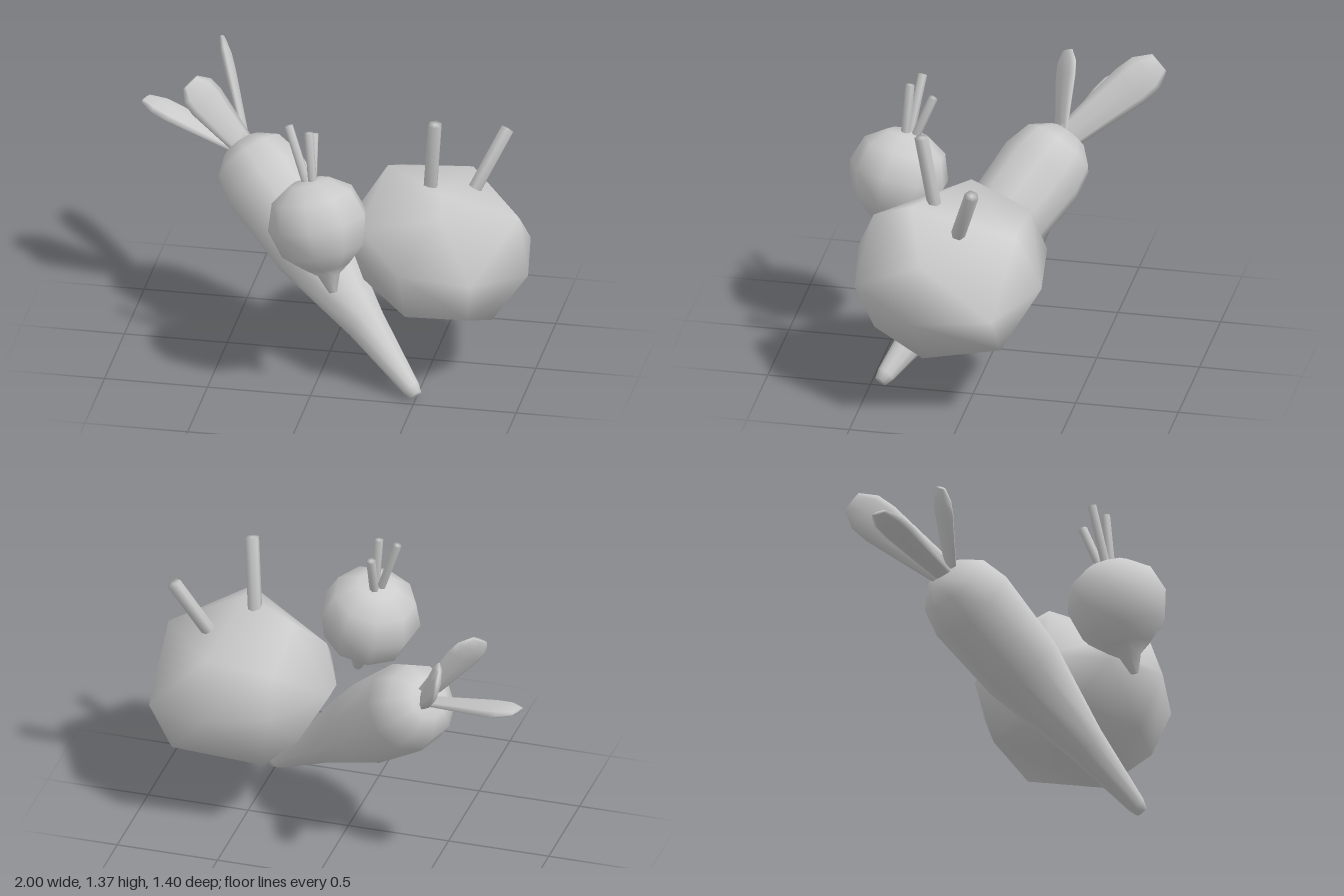
import * as THREE from 'three';
import { ConvexGeometry } from 'three/addons/geometries/ConvexGeometry.js';
import { mergeVertices } from 'three/addons/utils/BufferGeometryUtils.js';

const material = new THREE.MeshStandardMaterial({ color: 0xcccccc, side: THREE.DoubleSide });
const vec = (p) => new THREE.Vector3(...p);

// Lathe a [radius, fraction] profile along the line from a to b; "wide" sets the broad
// direction and "flat" squashes the third axis
function spindle(name, a, b, profile, { sides = 8, wide = [1, 0, 0], flat = 1 } = {}) {
  const start = vec(a), axis = vec(b).sub(start), length = axis.length();
  axis.normalize();
  const points = profile.map(([r, t]) => new THREE.Vector2(r, t * length));
  const geometry = new THREE.LatheGeometry(points, sides);
  const z = vec(wide).cross(axis).normalize();
  const x = axis.clone().cross(z);
  geometry.scale(1, 1, flat);
  geometry.applyMatrix4(new THREE.Matrix4().makeBasis(x, axis, z).setPosition(start));
  const mesh = new THREE.Mesh(geometry, material);
  mesh.name = name;
  return mesh;
}

const stalk = (name, a, b, r) =>
  spindle(name, a, b, [[0, 0], [r, 0], [r, 1], [0, 1]], { sides: 6 });

const leaf = (name, a, b, wide, w) =>
  spindle(name, a, b, [[0, 0], [0.6 * w, 0], [w, 0.7], [0.95 * w, 0.86], [0.5 * w, 1], [0, 1]],
    { wide, flat: 0.26 });

function createCarrot() {
  const group = new THREE.Group();
  group.name = 'carrot';
  group.add(spindle('carrotRoot', [0.505, 0.02, 0.45], [-0.48, 0.92, -0.26],
    [[0, 0], [0.03, 0], [0.045, 0.03], [0.1, 0.29], [0.198, 0.6], [0.218, 0.86],
      [0.185, 0.95], [0.1, 1], [0, 1]], { sides: 10 }));
  group.add(
    leaf('sideLeaf', [-0.47, 0.9, -0.25], [-0.98, 1.035, -0.445], [0.35, 0, -0.93], 0.088),
    leaf('frontLeaf', [-0.46, 0.93, -0.23], [-0.72, 1.255, -0.21], [0.6, 0.5, -0.6], 0.095),
    leaf('backLeaf', [-0.45, 0.92, -0.25], [-0.65, 1.27, -0.67], [0, 0.77, 0.64], 0.108));
  return group;
}

function createBeet() {
  const group = new THREE.Group();
  group.name = 'beet';
  // Uneven faceted bulb, as the hull of a few corners listed from top to bottom
  const corners = [
    [0.6, 1.01, 0.28], [0.29, 1.03, 0.05], [0.62, 0.96, 0.46], [0.65, 0.92, -0.24],
    [0.3, 0.9, -0.24], [0.95, 0.87, 0.17], [0.2, 0.8, 0.3],
    [1.0, 0.58, 0.2], [0.94, 0.6, -0.18], [0.63, 0.65, -0.36], [0.3, 0.7, -0.32],
    [0.09, 0.7, 0], [0.09, 0.7, 0.1], [0.2, 0.7, 0.38], [0.44, 0.7, 0.57], [0.78, 0.65, 0.52],
    [0.82, 0.32, 0.18], [0.45, 0.34, 0.18], [0.82, 0.4, -0.2], [0.35, 0.4, -0.24],
    [0.75, 0.43, 0.43], [0.45, 0.43, 0.45], [0.2, 0.49, 0.2], [0.22, 0.48, -0.1],
  ];
  let geometry = new ConvexGeometry(corners.map(vec));
  geometry.deleteAttribute('normal');
  geometry = mergeVertices(geometry, 1e-4);
  geometry.computeVertexNormals();
  const bulb = new THREE.Mesh(geometry, material);
  bulb.name = 'beetBulb';
  group.add(bulb,
    stalk('beetStalk', [0.52, 0.97, 0.18], [0.555, 1.36, 0.24], 0.035),
    stalk('beetStalk', [0.71, 0.94, 0.03], [0.85, 1.22, -0.065], 0.035));
  return group;
}

function createRadish() {
  const group = new THREE.Group();
  group.name = 'radish';
  // Round bulb running down into a short tap root
  group.add(spindle('radishBulb', [0.115, 0.565, 0.52], [-0.02, 1.1, 0.42],
    [[0, 0], [0.02, 0], [0.055, 0.16], [0.115, 0.24], [0.205, 0.38], [0.245, 0.63],
      [0.2, 0.86], [0.1, 0.98], [0, 1]], { sides: 9 }));
  const tips = [[-0.13, 1.355, 0.375], [-0.02, 1.29, 0.3], [-0.025, 1.345, 0.415]];
  const bases = [[-0.03, 1.07, 0.42], [-0.01, 1.07, 0.39], [0, 1.07, 0.435]];
  tips.forEach((tip, i) => group.add(stalk('radishStalk', bases[i], tip, 0.022)));
  return group;
}

export function createModel() {
  const model = new THREE.Group();
  model.name = 'vegetables';
  model.add(createCarrot(), createBeet(), createRadish());
  return model;
}
